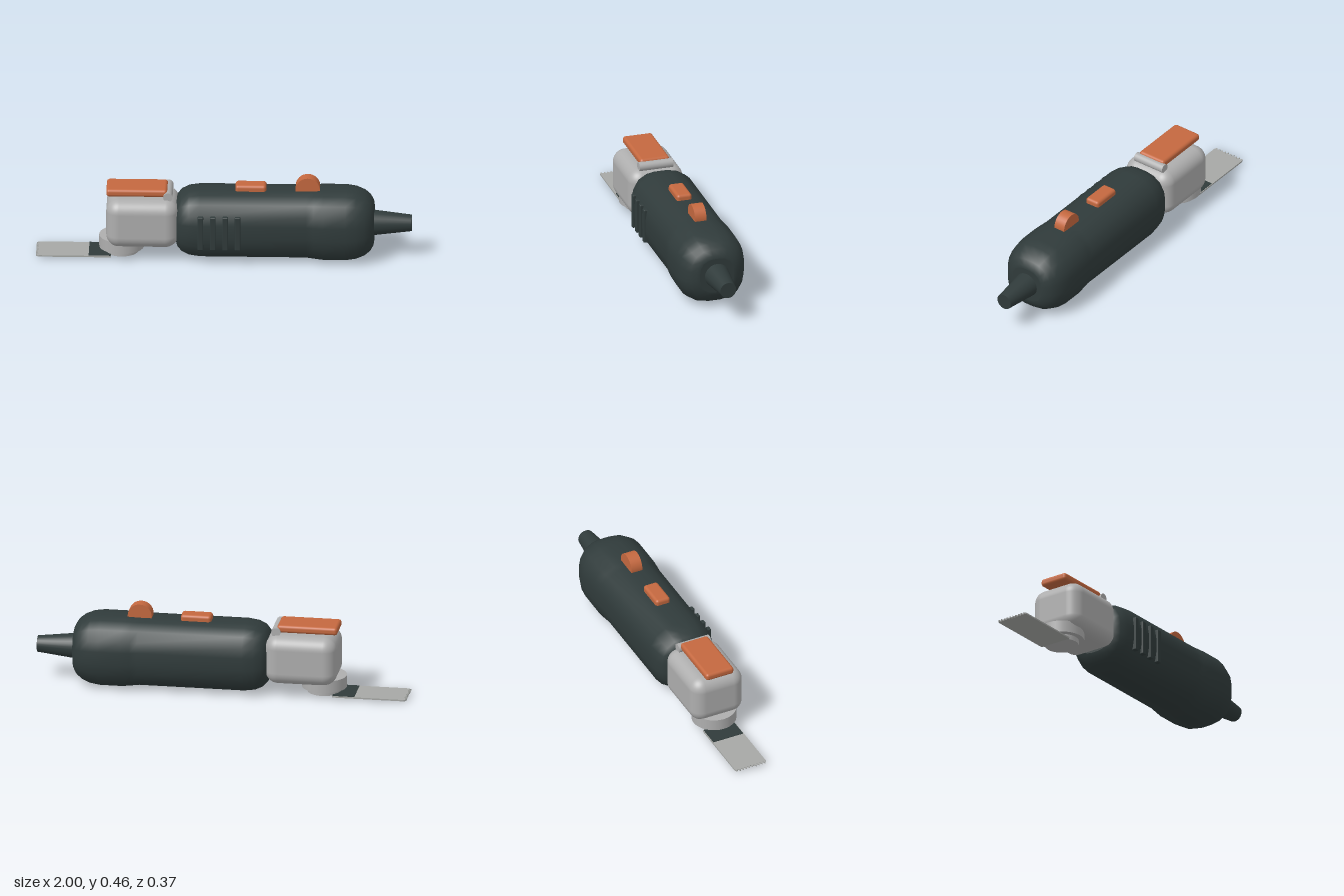
import * as THREE from 'three';
import { RoundedBoxGeometry } from 'three/addons/geometries/RoundedBoxGeometry.js';

const mat = (name, color) => new THREE.MeshStandardMaterial({ name, color });

// Rounded-square section, one quarter as unit (z, y) points, mirrored to a full ring
function ringPoints() {
  const quarter = [[1, 0.19], [0.95, 0.48], [0.775, 0.775], [0.48, 0.95], [0.19, 1]];
  const flipped = [...quarter].reverse();
  return [
    ...quarter,
    ...flipped.map(([z, y]) => [-z, y]),
    ...quarter.map(([z, y]) => [-z, -y]),
    ...flipped.map(([z, y]) => [z, -y]),
  ];
}

// Loft along x through sections [x, halfWidth, halfHeight, centreY], with flat caps
function loft(sections) {
  const ring = ringPoints(), n = ring.length, pos = [], idx = [];
  const addRing = ([x, w, h, cy]) => ring.forEach(([z, y]) => pos.push(x, cy + y * h, z * w));
  sections.forEach(addRing);
  for (let i = 0; i < sections.length - 1; i++) {
    for (let j = 0; j < n; j++) {
      const a = i * n + j, b = i * n + (j + 1) % n;
      idx.push(a, a + n, b + n, a, b + n, b);
    }
  }
  [sections[0], sections[sections.length - 1]].forEach((s, end) => {
    const base = pos.length / 3;
    addRing(s);
    pos.push(s[0], s[3], 0);
    for (let j = 0; j < n; j++) {
      const a = base + j, b = base + (j + 1) % n;
      idx.push(base + n, end ? b : a, end ? a : b);
    }
  });
  const g = new THREE.BufferGeometry();
  g.setAttribute('position', new THREE.Float32BufferAttribute(pos, 3));
  g.setIndex(idx);
  g.computeVertexNormals();
  return g;
}

export function createModel() {
  const dark = mat('charcoal housing', 0x303b3b);
  const grey = mat('grey metal', 0xaeaeae);
  const steel = mat('blade steel', 0xa6a8a5);
  const orange = mat('orange controls', 0xc4683f);

  const model = new THREE.Group();
  model.name = 'oscillatingTool';
  const add = (name, geometry, material, x = 0, y = 0, z = 0) => {
    const mesh = new THREE.Mesh(geometry, material);
    mesh.name = name;
    mesh.position.set(x, y, z);
    model.add(mesh);
    return mesh;
  };

  // Handle with a slightly swollen rear end
  add('body', loft([
    [-0.255, 0.105, 0.11, 0.199],
    [-0.247, 0.128, 0.134, 0.199],
    [-0.225, 0.151, 0.159, 0.199],
    [-0.185, 0.168, 0.177, 0.199],
    [-0.125, 0.176, 0.185, 0.199],
    [0.44, 0.176, 0.185, 0.199],
    [0.48, 0.181, 0.188, 0.197],
    [0.53, 0.186, 0.192, 0.195],
    [0.65, 0.186, 0.192, 0.195],
    [0.705, 0.179, 0.184, 0.195],
    [0.75, 0.163, 0.166, 0.195],
    [0.78, 0.14, 0.143, 0.195],
    [0.797, 0.112, 0.114, 0.195],
    [0.8, 0.095, 0.097, 0.195],
  ]), dark);

  // Cable sleeve
  add('cableSleeve', new THREE.CylinderGeometry(0.044, 0.07, 0.22, 28), dark, 0.89, 0.195, 0)
    .rotation.z = -Math.PI / 2;

  // Vent ribs on the front side
  for (let i = 0; i < 4; i++) {
    add('ventRib', new RoundedBoxGeometry(0.03, 0.19, 0.03, 2, 0.005), dark,
      -0.121 + i * 0.066, 0.195, 0.171);
  }

  // Gear head
  add('gearHead', new RoundedBoxGeometry(0.385, 0.27, 0.304, 6, 0.07), grey, -0.433, 0.215, 0);

  // Spindle collar and clamping disc
  add('spindleCollar', new THREE.CylinderGeometry(0.12, 0.12, 0.065, 36), grey, -0.545, 0.0775, 0);
  add('clampDisc', new THREE.CylinderGeometry(0.09, 0.09, 0.03, 32), grey, -0.545, 0.033, 0);

  // Saw blade with a toothed tip
  const teeth = 10, half = 0.092;
  const outline = new THREE.Shape();
  outline.moveTo(-0.6, -half);
  outline.lineTo(-0.6, half);
  for (let i = 0; i < teeth; i++) {
    const step = 2 * half / teeth;
    outline.lineTo(-0.984, half - i * step);
    outline.lineTo(-1, half - (i + 0.5) * step);
  }
  outline.lineTo(-0.984, -half);
  const blade = new THREE.ExtrudeGeometry(outline, { depth: 0.008, bevelEnabled: false });
  blade.rotateX(-Math.PI / 2);
  add('blade', blade, steel, 0, 0.013, 0);
  add('bladeBand', new THREE.BoxGeometry(0.118, 0.004, 0.176), dark, -0.66, 0.022, 0);

  // Clamp lever and its hinge pin
  add('clampLever', new RoundedBoxGeometry(0.325, 0.042, 0.164, 3, 0.016), orange, -0.463, 0.379, 0);
  add('leverHinge', new THREE.CylinderGeometry(0.025, 0.025, 0.188, 20), grey, -0.297, 0.364, 0)
    .rotation.x = Math.PI / 2;

  // Slide switch and speed dial
  add('slideSwitch', new RoundedBoxGeometry(0.165, 0.05, 0.084, 3, 0.016), orange, 0.143, 0.39, 0);
  add('speedDial', new THREE.CylinderGeometry(0.065, 0.065, 0.064, 32), orange, 0.446, 0.393, 0)
    .rotation.x = Math.PI / 2;

  return model;
}
